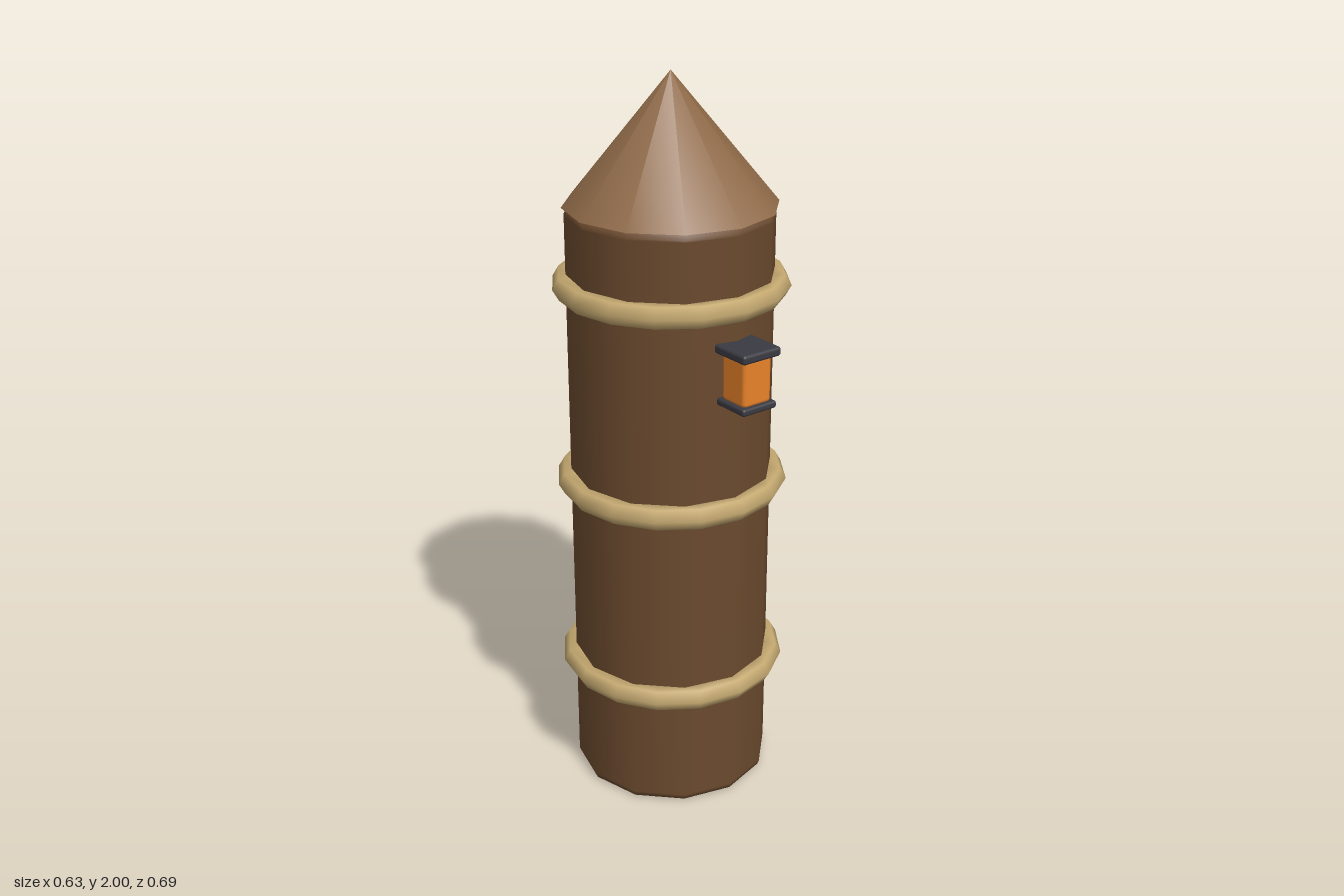
import * as THREE from 'three';
import { RoundedBoxGeometry } from 'three/addons/geometries/RoundedBoxGeometry.js';

const POST_Z = -0.03;

function addPart(parent, name, geometry, color, x, y, z) {
  const mesh = new THREE.Mesh(geometry, new THREE.MeshStandardMaterial({ color }));
  mesh.name = name;
  mesh.position.set(x, y, z);
  parent.add(mesh);
  return mesh;
}

export function createModel() {
  const model = new THREE.Group();
  model.name = 'woodenPost';

  // Twelve-sided trunk with softened rims and closed ends
  const r = 0.275, top = 1.66, b = 0.016;
  const profile = [
    [0, 0], [r - b - 0.005, 0], [r - b, 0], [r - b * 0.3, b * 0.3], [r, b], [r, b + 0.005],
    [r, top - b - 0.005], [r, top - b], [r - b * 0.3, top - b * 0.3], [r - b, top], [r - b - 0.005, top], [0, top],
  ].map(([x, y]) => new THREE.Vector2(x, y));
  addPart(model, 'trunk', new THREE.LatheGeometry(profile, 12), 0x6b4a2e, 0, 0, POST_Z);

  // Sharpened tip, slightly wider than the trunk
  addPart(model, 'pointedTip', new THREE.ConeGeometry(0.282, 0.34, 12), 0x8f6a48, 0, 1.83, POST_Z);

  // Rope bands
  const rope = new THREE.TorusGeometry(0.282, 0.033, 6, 16).rotateX(Math.PI / 2);
  [0.35, 0.903, 1.455].forEach((y, i) => addPart(model, `ropeBand${i + 1}`, rope, 0xc4a870, 0, y, POST_Z));

  // Lantern on the front face
  const lantern = new THREE.Group();
  lantern.name = 'lantern';
  lantern.position.set(0, 1.283, 0.282);
  model.add(lantern);
  addPart(lantern, 'lanternGlass', new RoundedBoxGeometry(0.09, 0.13, 0.09, 2, 0.012), 0xe8822a, 0, 0, 0);
  addPart(lantern, 'lanternTopCap', new RoundedBoxGeometry(0.122, 0.025, 0.122, 2, 0.008), 0x3a3a42, 0, 0.073, 0);
  addPart(lantern, 'lanternBottomCap', new RoundedBoxGeometry(0.11, 0.02, 0.11, 2, 0.007), 0x3a3a42, 0, -0.07, 0);

  return model;
}
